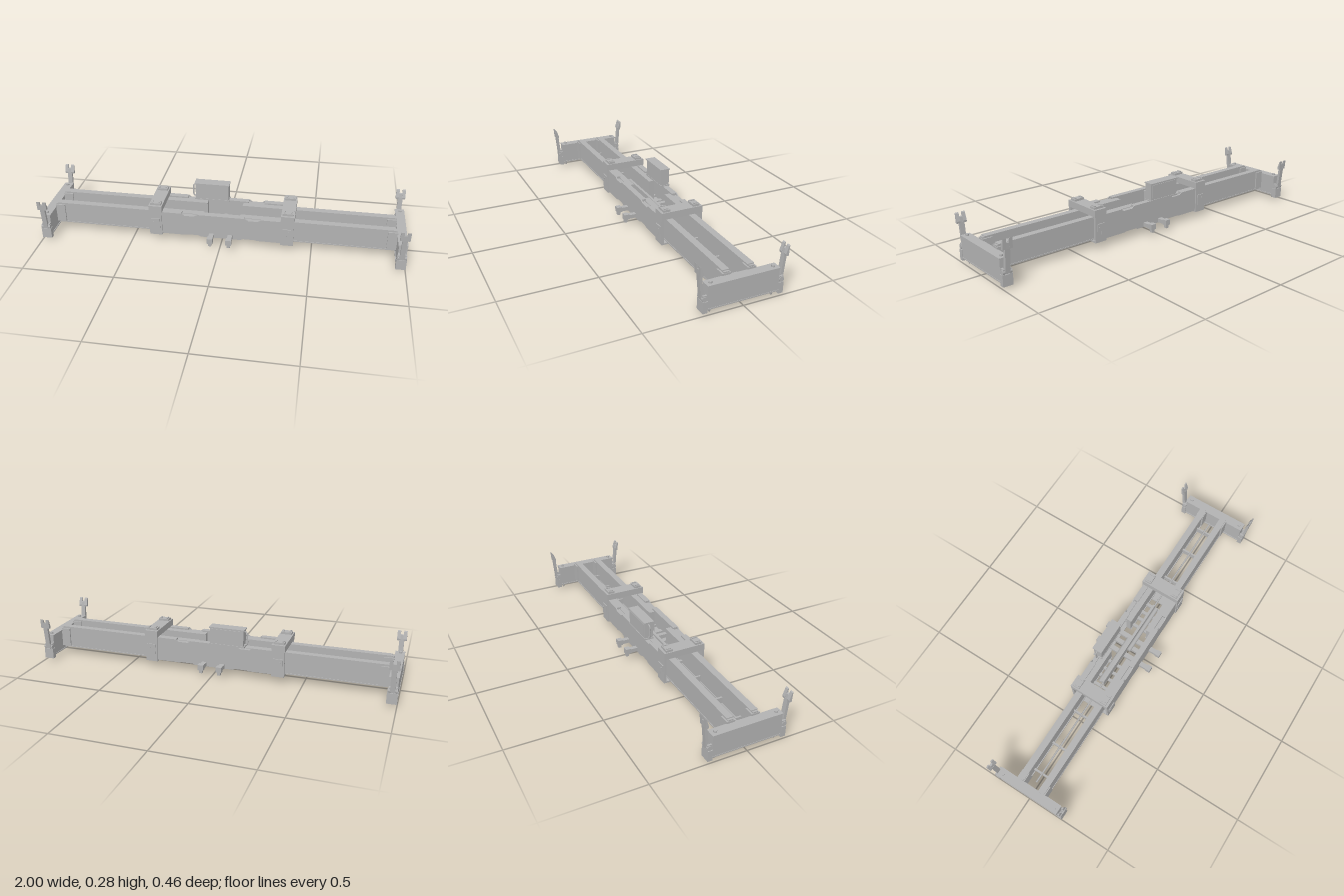
import * as THREE from 'three';

export function createModel() {
  const model = new THREE.Group();
  model.name = 'liftingSpreader';
  const steel = new THREE.MeshStandardMaterial({ color: 0xb2b2b2 });
  steel.name = 'grey steel';

  const add = (parent, name, geo) => {
    const m = new THREE.Mesh(geo, steel);
    m.name = name;
    parent.add(m);
    return m;
  };
  // box given by its limits on each axis
  const box = (parent, name, x0, x1, y0, y1, z0, z1) => {
    const m = add(parent, name, new THREE.BoxGeometry(x1 - x0, y1 - y0, z1 - z0));
    m.position.set((x0 + x1) / 2, (y0 + y1) / 2, (z0 + z1) / 2);
    return m;
  };
  // box repeated on both sides of z = 0
  const pair = (parent, name, x0, x1, y0, y1, z0, z1) => {
    box(parent, name, x0, x1, y0, y1, z0, z1);
    box(parent, name, x0, x1, y0, y1, -z1, -z0);
  };
  const cyl = (parent, name, rt, rb, h, x, y, z, axis = 'y', seg = 12) => {
    const m = add(parent, name, new THREE.CylinderGeometry(rt, rb, h, seg));
    if (axis === 'x') m.rotation.z = Math.PI / 2;
    if (axis === 'z') m.rotation.x = Math.PI / 2;
    m.position.set(x, y, z);
    return m;
  };
  const plate = (points, depth, holes = []) => {
    const s = new THREE.Shape(points.map(p => new THREE.Vector2(...p)));
    holes.forEach(h => s.holes.push(new THREE.Path(h.map(p => new THREE.Vector2(...p)))));
    return new THREE.ExtrudeGeometry(s, { depth, bevelEnabled: false });
  };

  // hinged corner guide; side is the sign of z
  const cornerGuide = (parent, side) => {
    const g = new THREE.Group();
    g.name = 'cornerGuide';
    if (side < 0) g.rotation.y = Math.PI;
    g.position.x = 0.973;
    parent.add(g);
    box(g, 'guideFoot', -0.027, 0.027, 0.012, 0.07, 0.185, 0.21);
    box(g, 'guideCheek', -0.022, -0.013, 0.07, 0.1, 0.187, 0.21);
    box(g, 'guideCheek', 0.013, 0.022, 0.07, 0.1, 0.187, 0.21);
    cyl(g, 'guidePivot', 0.013, 0.013, 0.05, 0, 0.083, 0.2, 'x', 16);
    // arm profile in z, y, extruded along x
    const arm = plate([[0.198, 0.075], [0.213, 0.075], [0.226, 0.205], [0.212, 0.207]], 0.026);
    const a = add(g, 'guideArm', arm);
    a.rotation.y = -Math.PI / 2;
    a.position.x = 0.013;
    // forked paddle at the tip
    [[-0.026, 0.018], [0.008, 0.018]].forEach(([x, w]) => {
      const tip = add(g, 'guidePaddle', plate([[0.212, 0.2], [0.226, 0.2], [0.23, 0.253], [0.224, 0.249], [0.211, 0.21]], w));
      tip.rotation.y = -Math.PI / 2;
      tip.position.x = x + w;
    });
    const web = add(g, 'paddleWeb', plate([[0.212, 0.2], [0.226, 0.2], [0.228, 0.232], [0.218, 0.23]], 0.02));
    web.rotation.y = -Math.PI / 2;
    web.position.x = 0.01;
  };

  // one half: end beam, telescopic beams and collar, reused turned round
  for (const end of [1, -1]) {
    const h = new THREE.Group();
    h.name = end > 0 ? 'leftHalf' : 'rightHalf';
    if (end < 0) h.rotation.y = Math.PI;
    model.add(h);

    // end crossbeam
    box(h, 'endBeam', 0.952, 0.997, 0.027, 0.144, -0.185, 0.185);
    box(h, 'endBeamTop', 0.948, 0.999, 0.142, 0.148, -0.188, 0.188);
    box(h, 'endBeamBottom', 0.948, 0.999, 0.026, 0.032, -0.188, 0.188);
    for (const s of [1, -1]) {
      cornerGuide(h, s);
      cyl(h, 'lockCap', 0.009, 0.009, 0.01, 0.975, 0.152, 0.163 * s);
      cyl(h, 'lockCollar', 0.012, 0.01, 0.008, 0.975, 0.022, 0.163 * s);
      cyl(h, 'twistLock', 0.007, 0.006, 0.012, 0.975, 0.013, 0.163 * s);
      cyl(h, 'twistLockTip', 0.006, 0.003, 0.007, 0.975, 0.0035, 0.163 * s);
    }

    // telescopic side beams
    pair(h, 'telescopicBeam', 0.1, 0.95, 0.05, 0.165, 0.052, 0.08);
    pair(h, 'beamTopFlange', 0.1, 0.94, 0.164, 0.17, 0.047, 0.083);
    pair(h, 'beamBottomFlange', 0.1, 0.94, 0.045, 0.051, 0.047, 0.083);
    pair(h, 'beamEndBracket', 0.9, 0.952, 0.052, 0.158, 0.044, 0.088);
    for (const x of [0.48, 0.69, 0.86])
      box(h, 'crossTie', x - 0.005, x + 0.005, 0.052, 0.085, -0.053, 0.053);

    // portal collar
    pair(h, 'collarSide', 0.33, 0.4, 0.037, 0.217, 0.103, 0.116);
    box(h, 'collarTop', 0.328, 0.402, 0.18, 0.217, -0.116, 0.116);
    box(h, 'collarBottom', 0.33, 0.4, 0.037, 0.046, -0.116, 0.116);
    pair(h, 'collarPad', 0.335, 0.395, 0.217, 0.229, 0.066, 0.103);
    pair(h, 'collarLug', 0.342, 0.35, 0.217, 0.234, 0.072, 0.097);
    pair(h, 'collarLug', 0.38, 0.388, 0.217, 0.234, 0.072, 0.097);
    for (const s of [1, -1]) {
      const p = add(h, 'collarLatch', plate([[0.34, 0.08], [0.365, 0.08], [0.365, 0.1], [0.39, 0.1], [0.39, 0.14], [0.34, 0.14]], 0.006));
      p.position.z = s > 0 ? 0.115 : -0.121;
      cyl(h, 'latchPin', 0.005, 0.005, 0.012, 0.375, 0.12, 0.118 * s, 'z');
    }

    // inner cross slats of the centre frame
    for (const x of [0.13, 0.18, 0.225, 0.28])
      box(h, 'frameSlat', x - 0.008, x + 0.008, 0.048, 0.065, -0.105, 0.105);

    // extension rod and cylinder
    cyl(h, 'extensionRod', 0.005, 0.005, 0.66, 0.585, 0.1, 0, 'x', 10);
    cyl(h, 'extensionCylinder', 0.012, 0.012, 0.3, 0.12, 0.1, 0.018, 'x');

    // loading arm with hooked ends
    const ax = 0.052;
    box(h, 'centreArm', ax - 0.013, ax + 0.013, 0.046, 0.068, -0.175, 0.175);
    pair(h, 'armEnd', ax - 0.016, ax + 0.016, 0.044, 0.074, 0.15, 0.178);
    pair(h, 'armHook', ax - 0.009, ax + 0.009, 0.026, 0.045, 0.158, 0.174);
  }

  // centre channel frame, open towards the inside
  const side = [
    [-0.33, 0.045], [-0.2, 0.045], [-0.18, 0.052], [-0.13, 0.052], [-0.11, 0.042],
    [0.11, 0.042], [0.13, 0.052], [0.18, 0.052], [0.2, 0.045], [0.33, 0.045],
    [0.33, 0.18], [0.22, 0.18], [0.205, 0.168], [0.15, 0.168], [0.13, 0.18],
    [-0.13, 0.18], [-0.15, 0.168], [-0.205, 0.168], [-0.22, 0.18], [-0.33, 0.18]];
  for (const s of [1, -1]) {
    const web = add(model, 'centreWeb', plate(side, 0.006));
    web.position.z = s > 0 ? 0.103 : -0.109;
  }
  for (const [x0, x1] of [[-0.33, -0.22], [-0.13, 0.13], [0.22, 0.33]])
    pair(model, 'centreTopFlange', x0, x1, 0.172, 0.18, 0.078, 0.106);
  pair(model, 'centreMidFlange', -0.22, -0.13, 0.162, 0.168, 0.085, 0.106);
  pair(model, 'centreMidFlange', 0.13, 0.22, 0.162, 0.168, 0.085, 0.106);
  pair(model, 'centreBottomFlange', -0.33, 0.33, 0.046, 0.053, 0.078, 0.104);
  box(model, 'centreSpine', -0.27, 0.27, 0.07, 0.13, -0.007, 0.007);
  box(model, 'centreCrossTie', -0.012, 0.012, 0.05, 0.075, -0.104, 0.104);

  // control cabinet
  box(model, 'cabinet', -0.172, 0.017, 0.18, 0.276, -0.115, -0.067);
  box(model, 'cabinetLid', -0.178, 0.02, 0.275, 0.281, -0.12, -0.063);
  box(model, 'cabinetDoor', -0.165, 0.01, 0.198, 0.27, -0.118, -0.114);
  box(model, 'cabinetBase', -0.178, 0.02, 0.178, 0.186, -0.118, -0.065);
  const pipe = new THREE.CatmullRomCurve3([[-0.17, 0.265], [-0.185, 0.26], [-0.188, 0.23], [-0.187, 0.195], [-0.17, 0.188]]
    .map(([x, y]) => new THREE.Vector3(x, y, -0.092)));
  add(model, 'cabinetPipe', new THREE.TubeGeometry(pipe, 16, 0.004, 8));

  return model;
}
